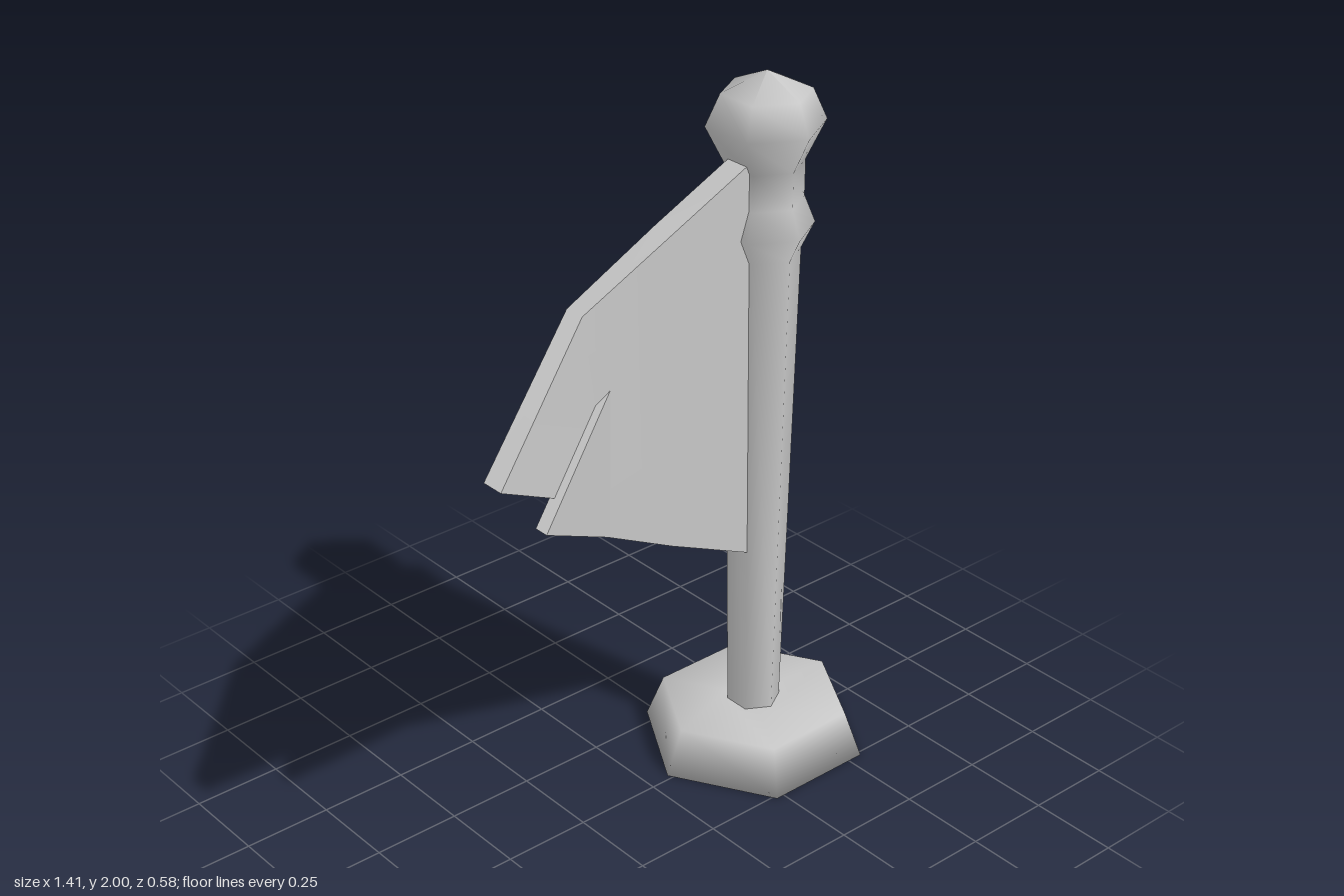
import * as THREE from 'three';
import { mergeGeometries, toCreasedNormals } from 'three/addons/utils/BufferGeometryUtils.js';

const grey = new THREE.MeshStandardMaterial({ color: 0xc6c6c6 });
grey.name = 'plain grey';

// Six-sided turned part from [radius, height] pairs, listed bottom to top
function turned(name, profile, start) {
  const pts = profile.map(([r, y]) => new THREE.Vector2(r, y));
  const mesh = new THREE.Mesh(new THREE.LatheGeometry(pts, 6, start, Math.PI * 2), grey);
  mesh.name = name;
  mesh.position.set(0.385, 0, -0.015);
  return mesh;
}

// Cloth slab running towards -x; section: [xTop, yTop, xBottom, yBottom, zBack, zFront]
function cloth(sections) {
  const rings = sections.map(([xt, yt, xb, yb, zb, zf]) => [
    [xt, yt, zb], [xt, yt, zf], [xb, yb, zf], [xb, yb, zb],
  ]);
  const pos = [];
  const quad = (a, b, c, d) => pos.push(...a, ...b, ...c, ...a, ...c, ...d);
  for (let i = 0; i < rings.length - 1; i++) {
    const c = rings[i], n = rings[i + 1];
    for (let k = 0; k < 4; k++) {
      const m = (k + 1) % 4;
      quad(n[k], n[m], c[m], c[k]);
    }
  }
  const e = rings[rings.length - 1];
  quad(e[0], e[3], e[2], e[1]);
  const geo = new THREE.BufferGeometry();
  geo.setAttribute('position', new THREE.Float32BufferAttribute(pos, 3));
  geo.computeVertexNormals();
  return geo;
}

function clothMesh(name, geometries) {
  const mesh = new THREE.Mesh(toCreasedNormals(mergeGeometries(geometries), 0.7), grey);
  mesh.name = name;
  return mesh;
}

export function createModel() {
  const model = new THREE.Group();
  model.name = 'flagpole';

  // Hexagonal foot, corners pointing sideways
  model.add(turned('base', [[0, 0], [0.32, 0], [0.27, 0.13], [0.08, 0.13], [0, 0.13]], Math.PI / 6));

  // Tapered pole with collar and finial, corners pointing front and back
  model.add(turned('pole', [
    [0.074, 0.12], [0.1, 1.51], [0.135, 1.58], [0.105, 1.655],
    [0.105, 1.755], [0.158, 1.86], [0.12, 1.945], [0, 2],
  ], 0));

  // Flag body with its upper tail bending forward past the fold
  const body = cloth([
    [0.34, 1.805, 0.34, 0.635, -0.045, 0.025],
    [0.04, 1.67, 0.04, 0.775, -0.04, 0.03],
    [-0.26, 1.54, -0.18, 0.89, -0.02, 0.04],
  ]);
  const upperTail = cloth([
    [-0.26, 1.54, -0.18, 0.99, -0.02, 0.04],
    [-0.705, 1.32, -0.705, 1.32, 0.222, 0.287],
  ]);
  model.add(clothMesh('flag', [body, upperTail]));

  // Shorter lower tail lying in front of the upper one
  model.add(clothMesh('lowerTail', [cloth([
    [-0.17, 1.31, -0.17, 0.885, -0.005, 0.036],
    [-0.54, 1.125, -0.54, 1.125, 0.2, 0.242],
  ])]));

  return model;
}
